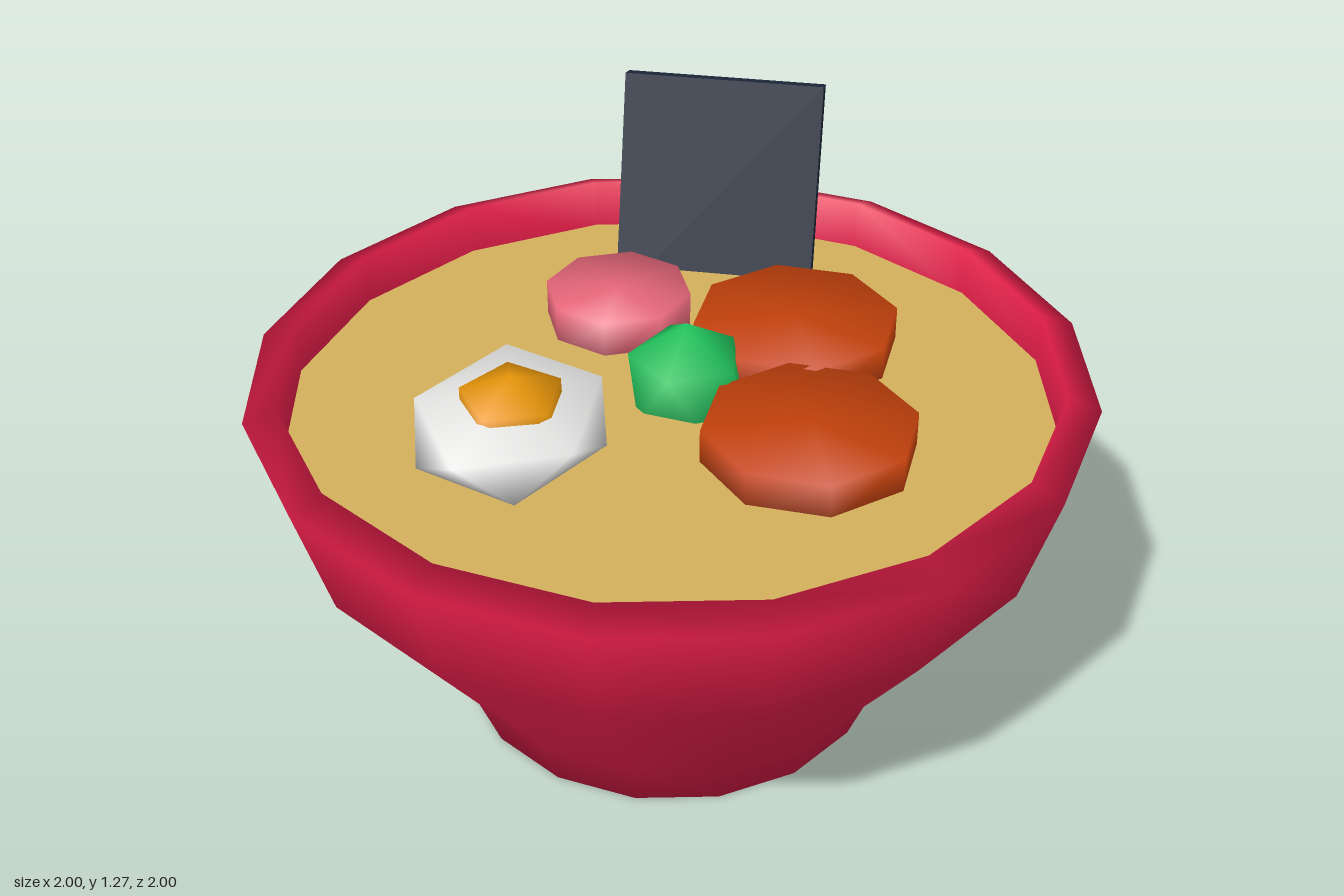
import * as THREE from 'three';
import { mergeVertices } from 'three/addons/utils/BufferGeometryUtils.js';

const mat = (name, color) => {
  const m = new THREE.MeshStandardMaterial({ color });
  m.name = name;
  return m;
};

// Weld corners so the low-poly shape is shaded softly
function soften(geometry) {
  geometry.deleteAttribute('normal');
  geometry.deleteAttribute('uv');
  const g = mergeVertices(geometry, 1e-3);
  g.computeVertexNormals();
  return g;
}

// Icosahedron standing on a vertex, squashed to the given radii
function blob(rx, ry, rz) {
  const g = new THREE.IcosahedronGeometry(1, 0);
  g.rotateZ(Math.atan(2 / (1 + Math.sqrt(5))));
  g.scale(rx, ry, rz);
  return soften(g);
}

export function createModel() {
  const model = new THREE.Group();
  const red = mat('bowl red', 0xe11d48);
  const broth = mat('broth tan', 0xd4b05c);
  const meat = mat('meat brown', 0xc2410c);
  const pink = mat('fish cake pink', 0xfb7185);
  const white = mat('egg white', 0xf5f5f4);
  const yellow = mat('yolk orange', 0xf59e0b);
  const green = mat('onion green', 0x22c55e);
  const navy = mat('seaweed navy', 0x1e293b);
  red.side = THREE.DoubleSide;

  const add = (name, geometry, material, x, y, z) => {
    const mesh = new THREE.Mesh(geometry, material);
    mesh.name = name;
    mesh.position.set(x, y, z);
    model.add(mesh);
    return mesh;
  };
  const SOUP = 0.79;

  // Bowl: base, foot, flared wall, rim and inner wall
  const profile = [
    [0, 0], [0.515, 0], [0.57, 0.14], [0.915, 0.6],
    [1, 0.885], [0.92, 0.915], [0.915, SOUP - 0.02],
  ].map(([r, y]) => new THREE.Vector2(r, y));
  add('bowl', new THREE.LatheGeometry(profile, 16), red, 0, 0, 0);

  // Soup surface
  add('soup', new THREE.CircleGeometry(0.917, 16).rotateX(-Math.PI / 2), broth, 0, SOUP, 0);

  // Round slices, partly sunk in the soup: radius, height, x, z, turn
  const slice = (name, material, r, h, x, z, turn) => {
    const g = soften(new THREE.CylinderGeometry(r, r, h + 0.03, 8));
    add(name, g, material, x, SOUP + (h - 0.03) / 2, z).rotation.y = turn;
  };
  slice('meatSliceBack', meat, 0.255, 0.085, 0.255, -0.32, -0.47);
  slice('meatSliceFront', meat, 0.255, 0.085, 0.345, 0.14, -0.47);
  slice('fishCake', pink, 0.183, 0.09, -0.2, -0.375, 0);

  // Egg half
  add('eggWhite', blob(0.254, 0.09, 0.314), white, -0.345, 0.835, 0.197);
  add('eggYolk', blob(0.138, 0.08, 0.15), yellow, -0.34, 0.88, 0.197);

  // Spring onion
  add('onion', blob(0.155, 0.155, 0.155), green, 0.025, 0.83, -0.06).rotation.y = 0.14;

  // Seaweed sheet leaning on the back of the bowl
  const sheet = add('seaweed', new THREE.BoxGeometry(0.51, 0.6, 0.055), navy, 0, 0.976, -0.725);
  sheet.rotation.x = -0.3;

  return model;
}
